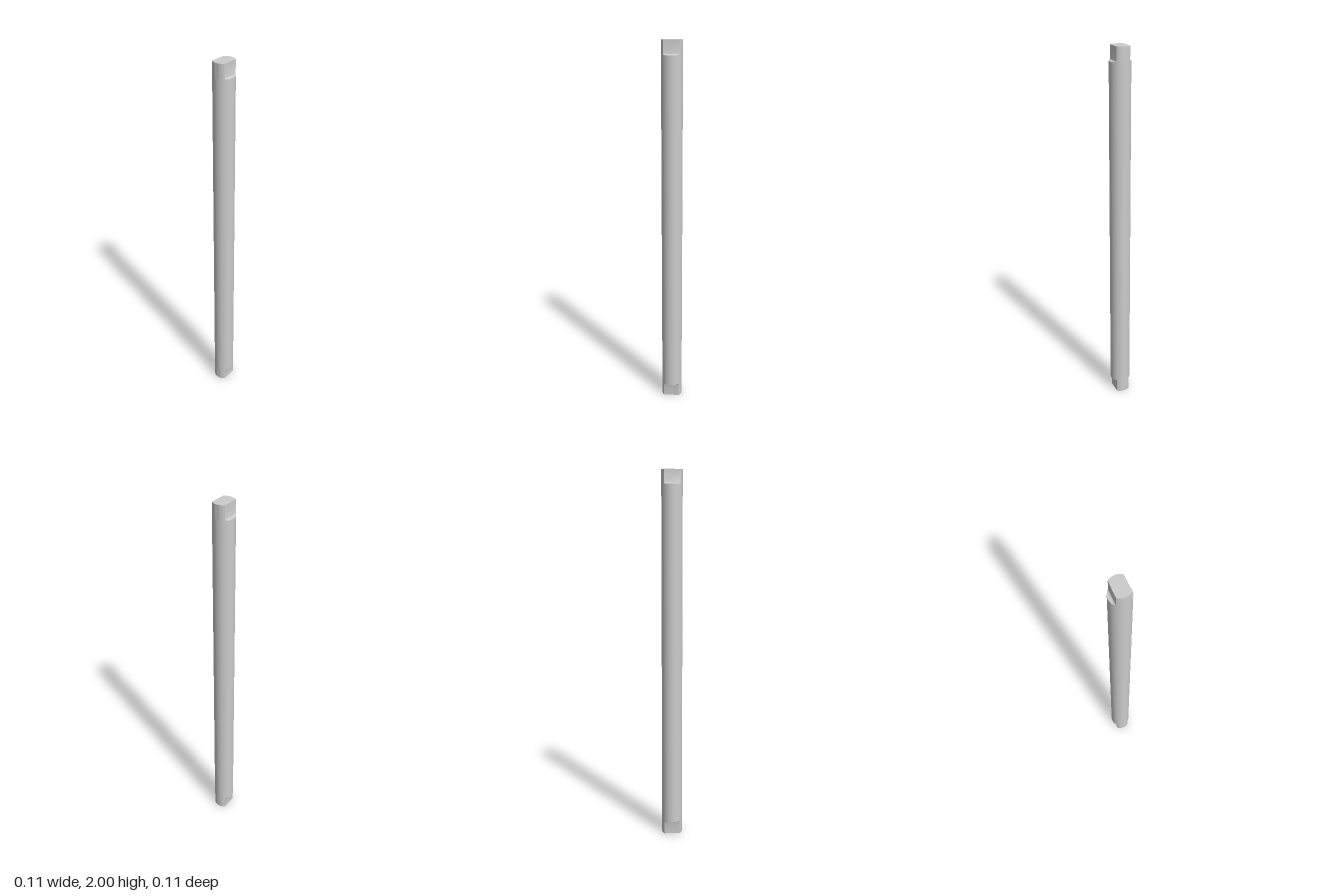
import * as THREE from 'three';
import { toCreasedNormals } from 'three/addons/utils/BufferGeometryUtils.js';

const R = 0.056;        // rod radius
const FLAT = 0.0365;    // half thickness across the end flats
const LENGTH = 2;
const NOTCH = 0.075;    // length of each flat
const FILLET = 0.008;   // small radius where flat meets shoulder
const ARC = 16;

// Circle of radius R cut by two parallel chords at z = +-d, counter-clockwise from above
function section(d) {
  const a = Math.asin(d / R);
  const points = [];
  for (const start of [-a, Math.PI - a]) {
    for (let i = 0; i <= ARC; i++) {
      const t = start + (2 * a * i) / ARC;
      points.push([R * Math.cos(t), -R * Math.sin(t)]);
    }
  }
  return points;
}

// Flattened end, lofted from the shoulder up to the tip
function flattenedEnd() {
  const tip = LENGTH / 2, shoulder = tip - NOTCH;
  const rows = [];
  for (let i = 0; i <= 6; i++) {
    const t = (i / 6) * Math.PI / 2;
    rows.push([shoulder + FILLET * (1 - Math.cos(t)), FLAT + FILLET * (1 - Math.sin(t))]);
  }
  rows.push([tip, FLAT]);

  const positions = [], index = [], n = 2 * (ARC + 1);
  for (const [y, d] of rows) for (const [x, z] of section(d)) positions.push(x, y, z);
  for (let j = 0; j < rows.length - 1; j++) {
    for (let i = 0; i < n; i++) {
      const a = j * n + i, b = j * n + (i + 1) % n;
      index.push(a, b, b + n, a, b + n, a + n);
    }
  }
  // tip face
  const last = (rows.length - 1) * n, centre = rows.length * n;
  positions.push(0, tip, 0);
  for (let i = 0; i < n; i++) index.push(centre, last + i, last + (i + 1) % n);

  const g = new THREE.BufferGeometry();
  g.setAttribute('position', new THREE.Float32BufferAttribute(positions, 3));
  g.setIndex(index);
  return toCreasedNormals(g, 0.5);
}

export function createModel() {
  const group = new THREE.Group();
  group.name = 'rod';
  const material = new THREE.MeshStandardMaterial({ color: 0xcccccc });

  // Round shaft; its end faces form the shoulders
  const shaft = new THREE.Mesh(new THREE.CylinderGeometry(R, R, LENGTH - 2 * NOTCH, 72), material);
  shaft.name = 'shaft';
  shaft.position.y = LENGTH / 2;
  group.add(shaft);

  // Flattened ends, the lower one turned over
  const endGeometry = flattenedEnd();
  for (const [name, turn] of [['topEnd', 0], ['bottomEnd', Math.PI]]) {
    const end = new THREE.Mesh(endGeometry, material);
    end.name = name;
    end.position.y = LENGTH / 2;
    end.rotation.x = turn;
    group.add(end);
  }
  return group;
}
